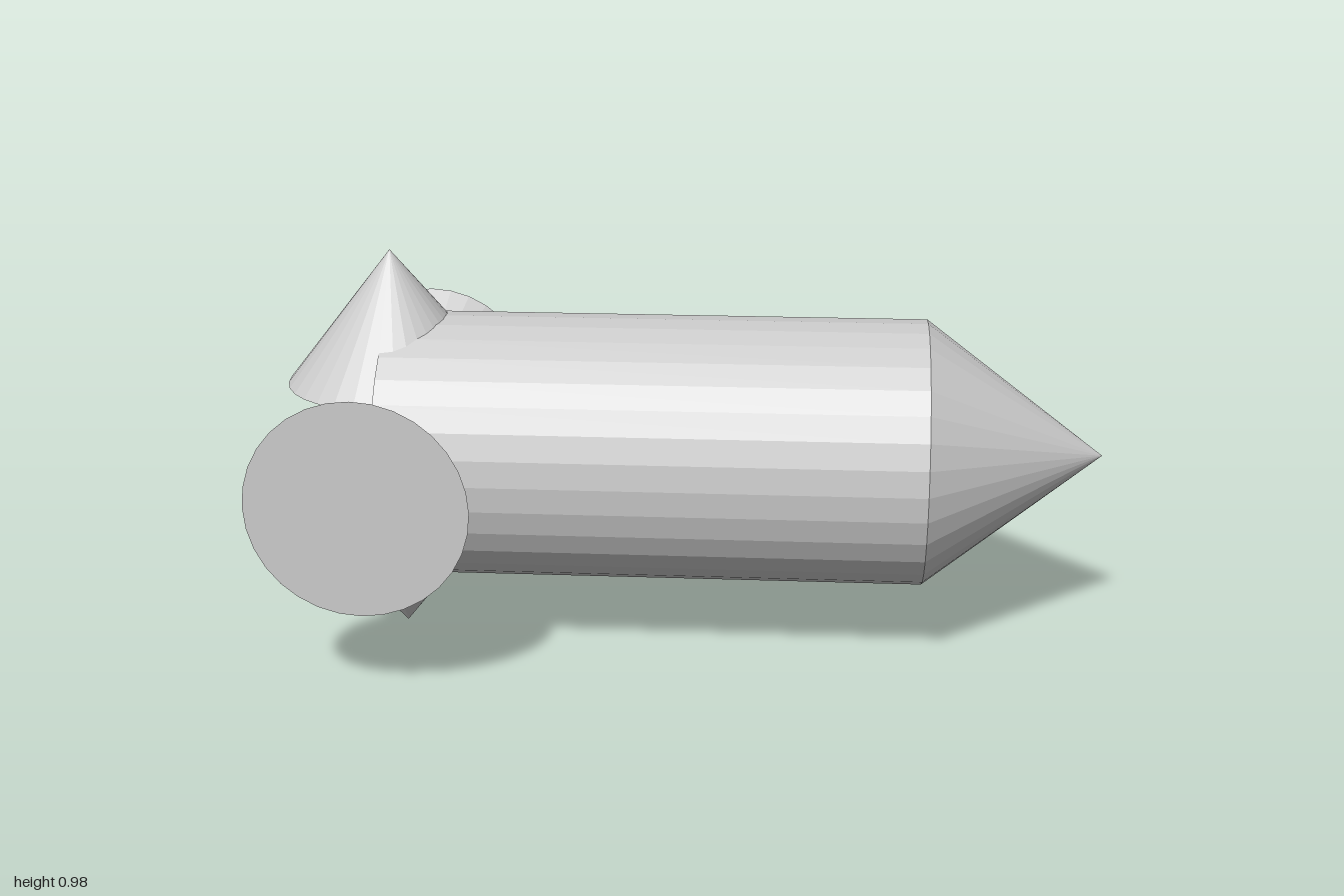
import * as THREE from 'three';

const SIDES = 32;
const RADIUS = 0.326;      // hull radius, also the fin cone height
const FIN_RADIUS = 0.261;
const AXIS_Y = 0.489;      // height of the long axis
const TAIL_X = -0.739;
const SHOULDER_X = 0.565;  // where hull meets nose

export function createModel() {
  const model = new THREE.Group();
  const material = new THREE.MeshStandardMaterial({ color: 0xcccccc, flatShading: true });

  const add = (name, geometry, x, y, z) => {
    const mesh = new THREE.Mesh(geometry, material);
    mesh.name = name;
    mesh.position.set(x, y, z);
    model.add(mesh);
    return mesh;
  };

  // Hull lying along x
  const length = SHOULDER_X - TAIL_X;
  const hull = new THREE.CylinderGeometry(RADIUS, RADIUS, length, SIDES).rotateZ(-Math.PI / 2);
  add('hull', hull, (TAIL_X + SHOULDER_X) / 2, AXIS_Y, 0);

  // Pointed nose
  const noseLength = 1 - SHOULDER_X;
  const nose = new THREE.ConeGeometry(RADIUS, noseLength, SIDES).rotateZ(-Math.PI / 2);
  add('noseCone', nose, SHOULDER_X + noseLength / 2, AXIS_Y, 0);

  // Four cones around the tail: upper and lower point outward, side ones point inward
  const cone = new THREE.ConeGeometry(FIN_RADIUS, RADIUS, SIDES);
  for (const s of [1, -1]) {
    const fin = add(s > 0 ? 'upperFin' : 'lowerFin', cone, TAIL_X, AXIS_Y + s * RADIUS, 0);
    if (s < 0) fin.rotation.x = Math.PI;

    const thruster = add(s > 0 ? 'frontThruster' : 'backThruster', cone, TAIL_X, AXIS_Y, s * RADIUS);
    thruster.rotation.x = -s * Math.PI / 2;
  }

  return model;
}
